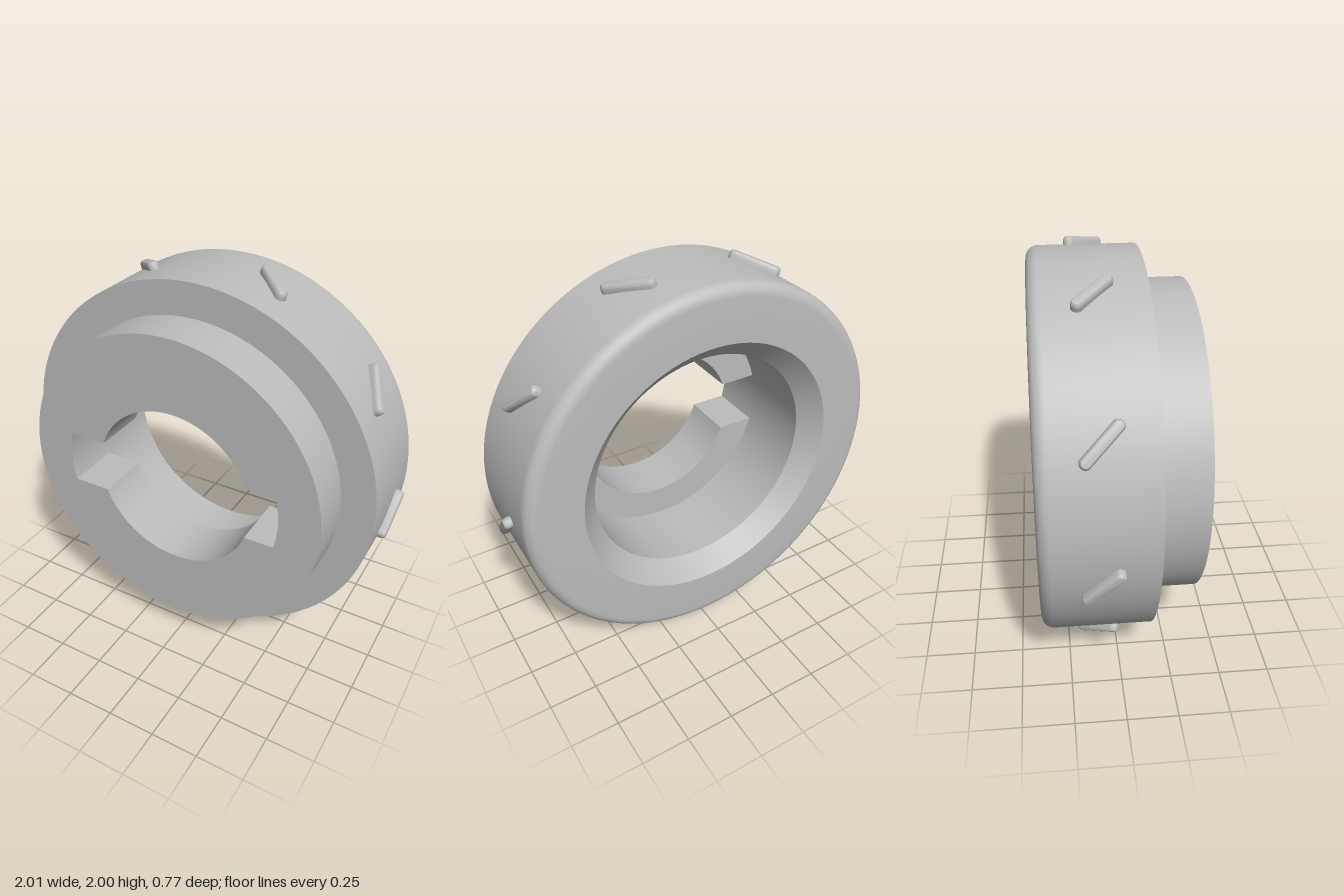
import * as THREE from 'three';
import { toCreasedNormals } from 'three/addons/utils/BufferGeometryUtils.js';

const CREASE = 0.5;

// Stepped ring: counterbore wall, chamfer, back face, rounded rim, outer wall, front shoulder
function ringGeometry() {
  const pts = [[0.59, 0.1], [0.59, -0.285], [0.69, -0.387]];
  const fillet = 0.06, outer = 0.97;
  for (let i = 0; i <= 8; i++) {
    const a = -Math.PI / 2 + (i / 8) * Math.PI / 2;
    pts.push([outer - fillet + fillet * Math.cos(a), -0.387 + fillet + fillet * Math.sin(a)]);
  }
  pts.push([outer, 0.148], [0.79, 0.148]);
  const g = new THREE.LatheGeometry(pts.map(([r, y]) => new THREE.Vector2(r, y)), 96);
  g.rotateX(Math.PI / 2);
  return toCreasedNormals(g, CREASE);
}

// Front boss with a round bore crossed by a slot
function bossGeometry() {
  const bore = 0.422, boreX = 0.022, slotEnd = 0.59, halfSlot = 0.1425;
  const a = Math.asin(halfSlot / bore), b = Math.asin(halfSlot / slotEnd);
  const shape = new THREE.Shape().absarc(0, 0, 0.8, 0, Math.PI * 2, false);
  const hole = new THREE.Path();
  hole.absarc(0, 0, slotEnd, -b, b, false);
  hole.absarc(boreX, 0, bore, a, Math.PI - a, false);
  hole.absarc(0, 0, slotEnd, Math.PI - b, Math.PI + b, false);
  hole.absarc(boreX, 0, bore, Math.PI + a, Math.PI * 2 - a, false);
  hole.closePath();
  shape.holes.push(hole);
  const g = new THREE.ExtrudeGeometry(shape, { depth: 0.287, bevelEnabled: false, curveSegments: 48 });
  g.translate(0, 0, 0.1);
  return toCreasedNormals(g, CREASE);
}

// Slanted grip rib with rounded ends, lying on the outer wall at +x
function ribGeometry() {
  const half = 0.1, r = 0.014, bevel = 0.022;
  const s = new THREE.Shape();
  s.absarc(half, 0, r, -Math.PI / 2, Math.PI / 2, false);
  s.absarc(-half, 0, r, Math.PI / 2, Math.PI * 1.5, false);
  s.closePath();
  const g = new THREE.ExtrudeGeometry(s, {
    depth: 0.03, bevelThickness: bevel, bevelSize: 0.014, bevelSegments: 4, curveSegments: 8,
  });
  g.rotateZ(-0.76);
  g.applyMatrix4(new THREE.Matrix4().makeBasis(
    new THREE.Vector3(0, 1, 0), new THREE.Vector3(0, 0, 1), new THREE.Vector3(1, 0, 0)));
  g.translate(1.006 - 0.03 - bevel, 0, -0.105);
  return toCreasedNormals(g, CREASE);
}

export function createModel() {
  const grey = new THREE.MeshStandardMaterial({ color: 0xbcbcbc });
  grey.name = 'grey';

  const model = new THREE.Group();
  model.name = 'slottedCollar';
  const add = (name, geometry) => {
    const mesh = new THREE.Mesh(geometry, grey);
    mesh.name = name;
    model.add(mesh);
    return mesh;
  };

  add('outerRing', ringGeometry());
  add('slottedBoss', bossGeometry());

  // Nine ribs evenly spaced around the rim
  const rib = ribGeometry();
  for (let i = 0; i < 9; i++) {
    add('gripRib' + (i + 1), rib).rotation.z = THREE.MathUtils.degToRad(-7 + i * 40);
  }

  model.position.set(-0.004, 1.01, 0);
  return model;
}
